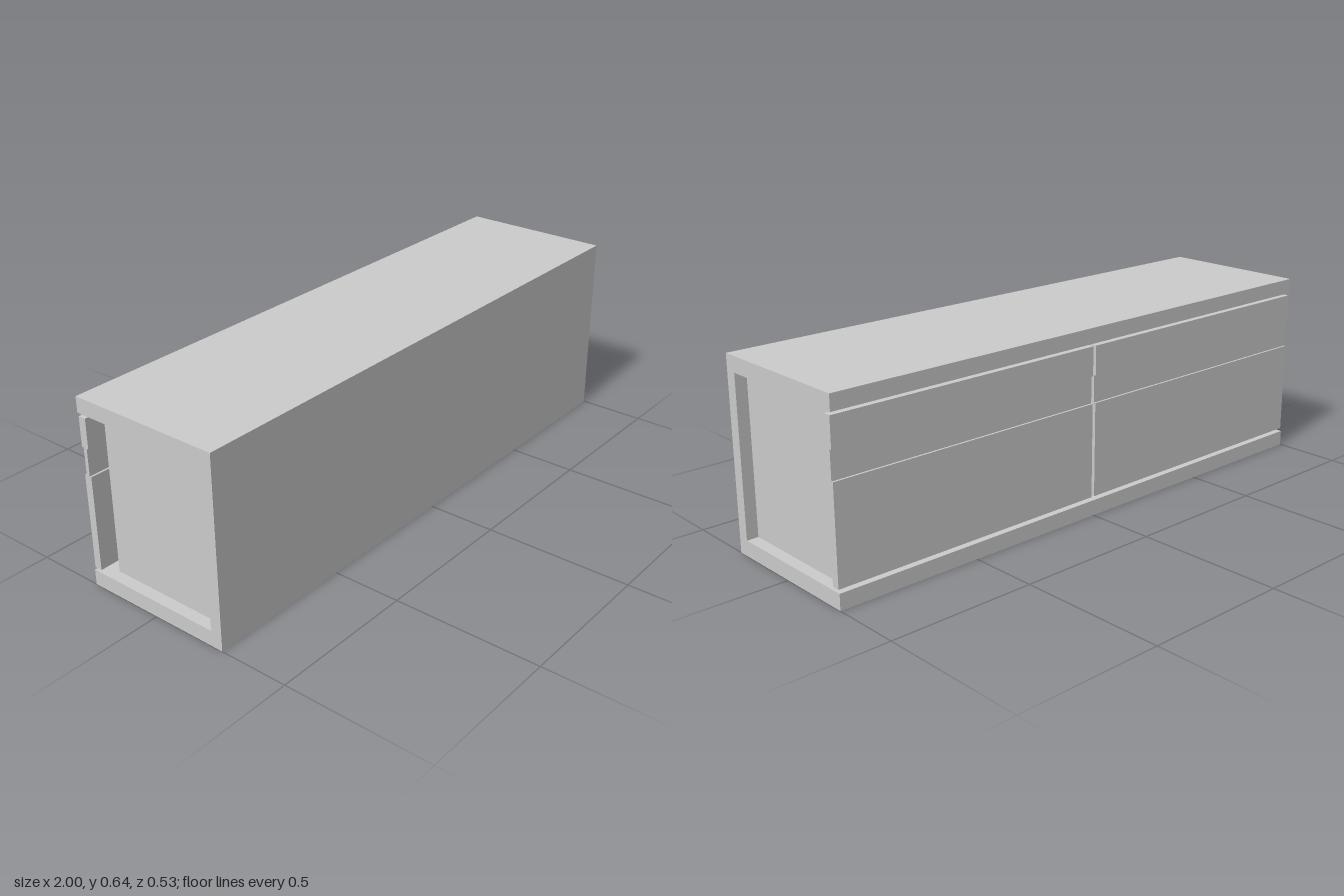
import * as THREE from 'three';

const material = new THREE.MeshStandardMaterial({ color: 0xcccccc });

// Extrudes a [z, y] outline along x, from x0 to x1
function extrudeAlongX(name, outline, x0, x1) {
  const shape = new THREE.Shape(outline.map(([z, y]) => new THREE.Vector2(-z, y)));
  const geometry = new THREE.ExtrudeGeometry(shape, { depth: x1 - x0, bevelEnabled: false });
  geometry.rotateY(Math.PI / 2);
  geometry.translate(x0, 0, 0);
  const mesh = new THREE.Mesh(geometry, material);
  mesh.name = name;
  return mesh;
}

export function createModel() {
  const group = new THREE.Group();
  group.name = 'sideboard';

  // C-shaped carcass: bottom, closed panel and top in one profile
  group.add(extrudeAlongX('carcass', [
    [0.265, 0], [0.265, 0.638], [-0.265, 0.638], [-0.265, 0.586],
    [0.225, 0.586], [0.225, 0.053], [-0.265, 0.053], [-0.265, 0],
  ], -1, 1));

  // Upright walls: two recessed ends and a middle divider
  const wall = new THREE.BoxGeometry(0.04, 0.533, 0.425);
  for (const [name, x] of [['rightWall', -0.94], ['middleDivider', 0], ['leftWall', 0.94]]) {
    const mesh = new THREE.Mesh(wall, material);
    mesh.name = name;
    mesh.position.set(x, 0.3195, 0.0125);
    group.add(mesh);
  }

  // Two door fronts, each with a thin grooved band near the top
  const doorOutline = [
    [-0.234, 0.064], [-0.234, 0.385], [-0.241, 0.385], [-0.241, 0.477], [-0.234, 0.477], [-0.234, 0.576],
    [-0.261, 0.576], [-0.261, 0.477], [-0.254, 0.477], [-0.254, 0.385], [-0.261, 0.385], [-0.261, 0.064],
  ];
  group.add(extrudeAlongX('rightDoor', doorOutline, -1, -0.006));
  group.add(extrudeAlongX('leftDoor', doorOutline, 0.006, 1));

  return group;
}
